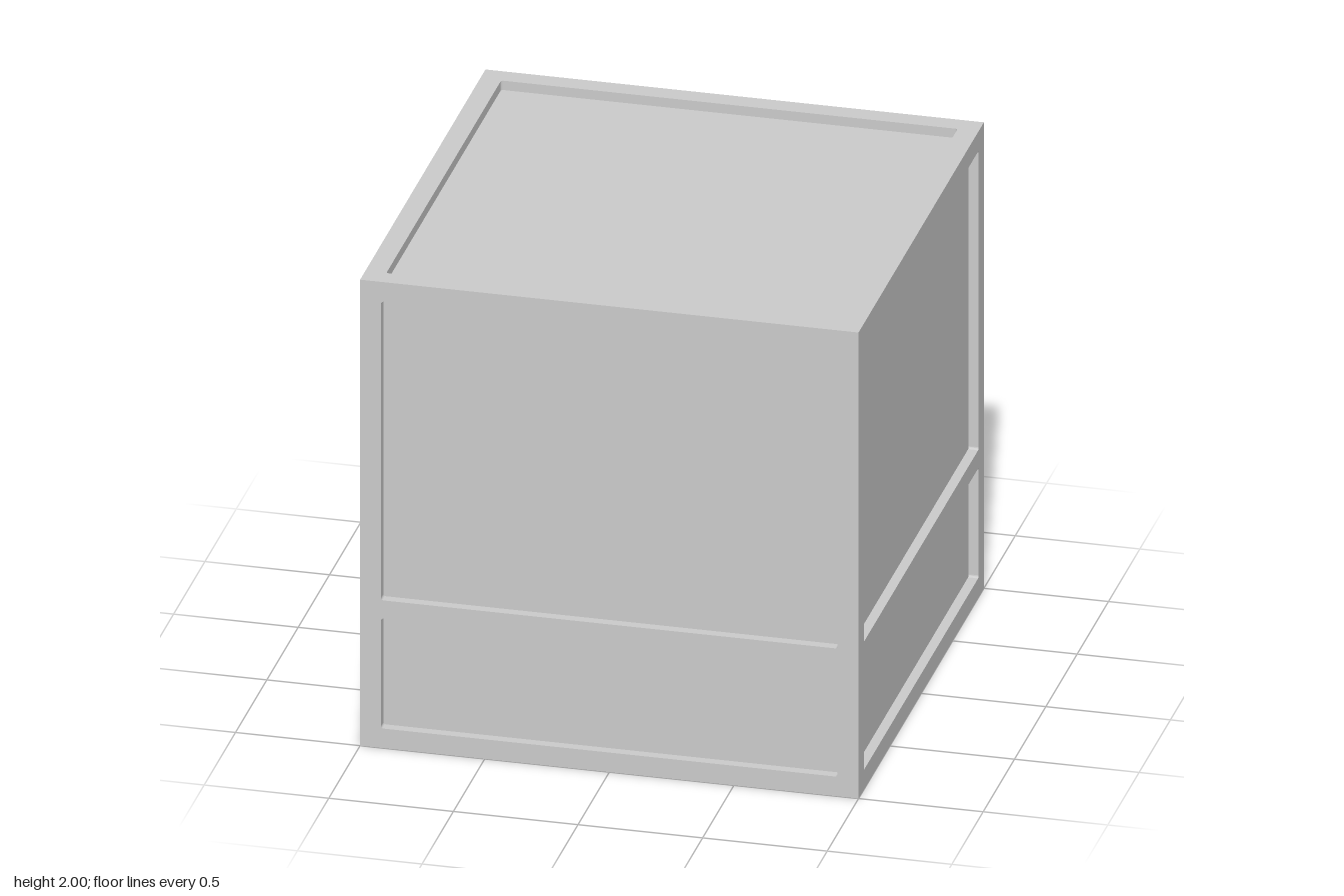
import * as THREE from 'three';

const DEPTH = 0.04;      // how far each panel sits back from the frame
const EDGE = 0.916;      // half width of every panel
const RADIUS = 0.01;     // panel corner rounding

const material = new THREE.MeshStandardMaterial({ color: 0xcccccc });

// Rounded rectangle, counter-clockwise
function trace(path, x0, y0, x1, y1, r = RADIUS) {
  path.moveTo(x0 + r, y0);
  path.lineTo(x1 - r, y0);
  path.absarc(x1 - r, y0 + r, r, -Math.PI / 2, 0);
  path.lineTo(x1, y1 - r);
  path.absarc(x1 - r, y1 - r, r, 0, Math.PI / 2);
  path.lineTo(x0 + r, y1);
  path.absarc(x0 + r, y1 - r, r, Math.PI / 2, Math.PI);
  path.lineTo(x0, y0 + r);
  path.absarc(x0 + r, y0 + r, r, Math.PI, Math.PI * 1.5);
  return path;
}

// Inward-facing walls running from the frame down to the panel
function wallGeometry(outline) {
  const pts = outline.getPoints(3);
  const pos = [];
  pts.forEach((p, i) => {
    const q = pts[(i + 1) % pts.length];
    if (p.distanceTo(q) < 1e-6) return;
    pos.push(p.x, p.y, 0, q.x, q.y, 0, q.x, q.y, -DEPTH);
    pos.push(p.x, p.y, 0, q.x, q.y, -DEPTH, p.x, p.y, -DEPTH);
  });
  const geometry = new THREE.BufferGeometry();
  geometry.setAttribute('position', new THREE.Float32BufferAttribute(pos, 3));
  geometry.computeVertexNormals();
  return geometry;
}

function addMesh(parent, name, geometry) {
  const mesh = new THREE.Mesh(geometry, material);
  mesh.name = name;
  parent.add(mesh);
  return mesh;
}

// One 2 x 2 face, drawn in xy and facing +z, with its recessed panels
function createFace(name, panels) {
  const face = new THREE.Group();
  face.name = name;
  const frame = new THREE.Shape();
  frame.moveTo(-1, -1).lineTo(1, -1).lineTo(1, 1).lineTo(-1, 1).closePath();

  for (const [label, y0, y1] of panels) {
    const rect = [-EDGE, y0, EDGE, y1];
    const outline = trace(new THREE.Shape(), ...rect);
    frame.holes.push(trace(new THREE.Path(), ...rect));
    addMesh(face, label, new THREE.ShapeGeometry(outline, 3)).position.z = -DEPTH;
    addMesh(face, label + 'Rim', wallGeometry(outline));
  }
  addMesh(face, 'frame', new THREE.ShapeGeometry(frame, 3));
  return face;
}

export function createModel() {
  const crate = new THREE.Group();
  crate.name = 'crate';

  // Four sides, each with a tall upper panel and a low one
  ['frontSide', 'leftSide', 'backSide', 'rightSide'].forEach((name, i) => {
    const a = i * Math.PI / 2;
    const side = createFace(name, [
      ['upperPanel', -0.366, EDGE],
      ['lowerPanel', -0.916, -0.444],
    ]);
    side.rotation.y = a;
    side.position.set(Math.sin(a), 1, Math.cos(a));
    crate.add(side);
  });

  // Lid with a single panel
  const lid = createFace('lid', [['lidPanel', -EDGE, EDGE]]);
  lid.rotation.x = -Math.PI / 2;
  lid.position.y = 2;
  crate.add(lid);

  // Plain underside
  const base = createFace('base', []);
  base.rotation.x = Math.PI / 2;
  crate.add(base);

  return crate;
}
